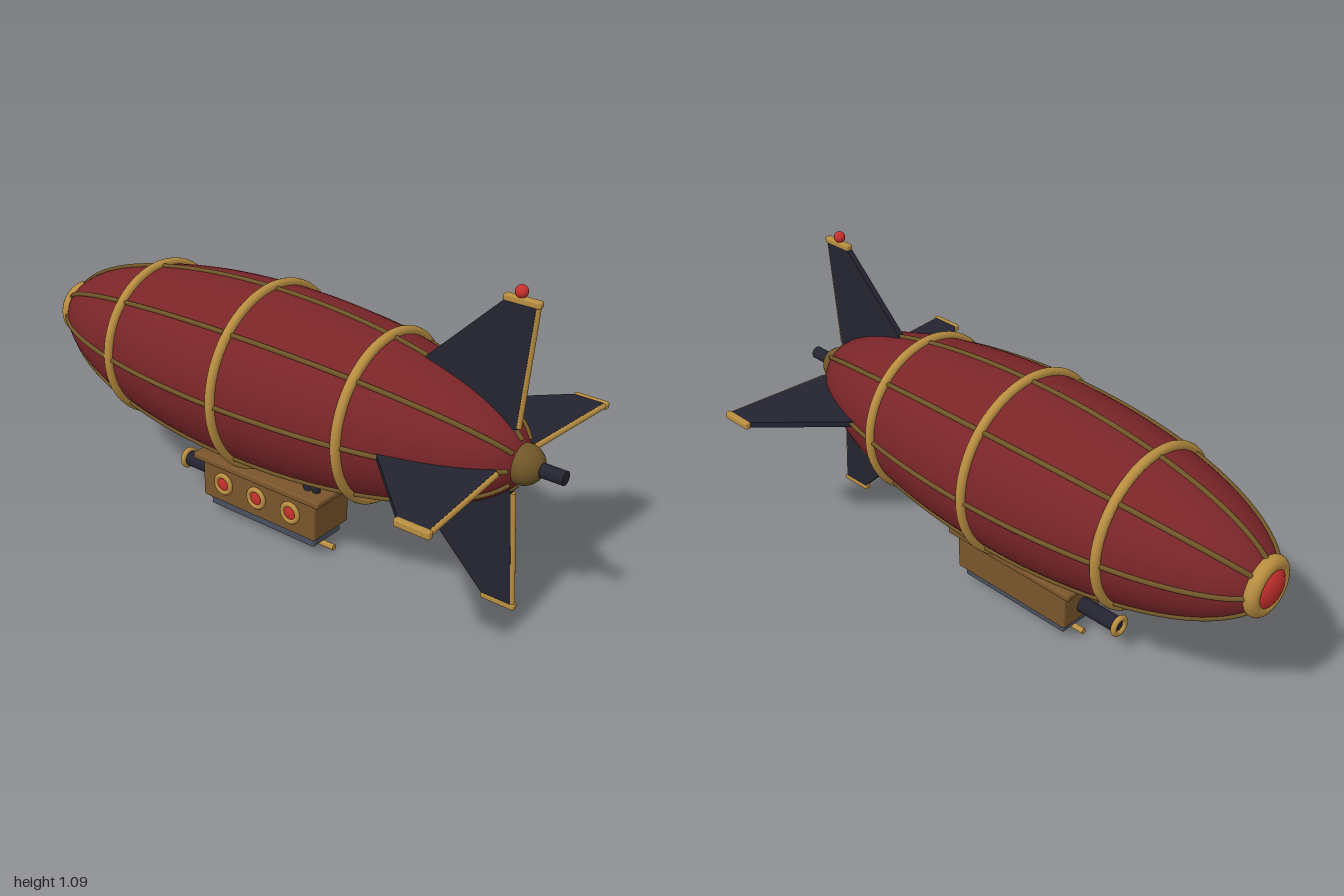
import * as THREE from 'three';
import { RoundedBoxGeometry } from 'three/addons/geometries/RoundedBoxGeometry.js';

const mat = (name, color) => {
  const m = new THREE.MeshStandardMaterial({ color });
  m.name = name;
  return m;
};

export function createModel() {
  const red = mat('hull red', 0x7a2528);
  const gold = mat('gold', 0xb88d40);
  const bronze = mat('bronze', 0x705628);
  const wood = mat('wood brown', 0x7a552c);
  const navy = mat('dark navy', 0x232430);
  const steel = mat('blue steel', 0x485060);
  const glass = mat('red glass', 0xc8302c);

  const model = new THREE.Group();
  model.name = 'airship';
  const add = (name, geo, material, pos = [0, 0, 0], parent = model) => {
    const m = new THREE.Mesh(geo, material);
    m.name = name;
    m.position.set(...pos);
    parent.add(m);
    return m;
  };
  // Cylinder between two points
  const rod = (name, a, b, r, material, parent = model) => {
    const p = new THREE.Vector3(...a), q = new THREE.Vector3(...b), d = q.clone().sub(p);
    const m = add(name, new THREE.CylinderGeometry(r, r, d.length(), 20), material,
      p.clone().add(q).multiplyScalar(0.5).toArray(), parent);
    m.quaternion.setFromUnitVectors(new THREE.Vector3(0, 1, 0), d.normalize());
    return m;
  };
  const ringX = (R, r) => new THREE.TorusGeometry(R, r, 14, 64).rotateY(Math.PI / 2);

  // Envelope, built around its own long axis
  const envelope = new THREE.Group();
  envelope.name = 'envelope';
  envelope.position.y = 0.564;
  model.add(envelope);
  const X0 = -0.055, HALF = 0.935, R = 0.3;
  const radius = x => R * Math.sqrt(Math.max(0, 1 - ((x - X0) / HALF) ** 2));
  const profile = [];
  for (let i = 0; i <= 48; i++) {
    const t = Math.PI * (1 - i / 48);
    profile.push(new THREE.Vector2(Math.max(0, R * Math.sin(t)), X0 + HALF * Math.cos(t)));
  }
  add('hull', new THREE.LatheGeometry(profile, 64).rotateZ(-Math.PI / 2), red, [0, 0, 0], envelope);

  // Lengthwise ribs
  for (let k = 0; k < 8; k++) {
    const pts = [];
    for (let i = 0; i <= 24; i++) {
      const x = X0 + 0.91 * Math.cos(Math.PI * (1 - i / 24));
      pts.push(new THREE.Vector3(x, radius(x) + 0.002, 0));
    }
    const rib = add('rib', new THREE.TubeGeometry(new THREE.CatmullRomCurve3(pts), 64, 0.008, 8), bronze, [0, 0, 0], envelope);
    rib.rotation.x = k * Math.PI / 4;
  }

  // Hoops, nose and tail
  for (const x of [-0.555, -0.058, 0.4])
    add('hoop', ringX(radius(x) + 0.005, 0.016), gold, [x, 0, 0], envelope);
  add('noseRing', ringX(0.072, 0.025), gold, [-0.96, 0, 0], envelope);
  add('noseLamp', new THREE.SphereGeometry(0.068, 32, 20).scale(0.5, 1, 1), glass, [-0.966, 0, 0], envelope);
  add('tailHub', new THREE.SphereGeometry(0.062, 32, 24), bronze, [0.868, 0, 0], envelope);
  rod('tailShaft', [0.88, 0, 0], [1, 0, 0], 0.022, navy, envelope);

  // Four tail fins with gold tips and trailing edges
  const outline = new THREE.Shape([[0.5, 0.2], [0.52, 0.232], [0.767, 0.475], [0.868, 0.475], [0.838, 0.1], [0.78, 0.09]]
    .map(p => new THREE.Vector2(...p)));
  const finGeo = new THREE.ExtrudeGeometry(outline, { depth: 0.02, bevelEnabled: false }).translate(0, 0, -0.01);
  for (let k = 0; k < 4; k++) {
    const fin = new THREE.Group();
    fin.name = 'tailFin';
    fin.rotation.x = k * Math.PI / 2;
    envelope.add(fin);
    add('finPanel', finGeo, navy, [0, 0, 0], fin);
    add('finTip', new RoundedBoxGeometry(0.116, 0.021, 0.024, 3, 0.006), gold, [0.822, 0.483, 0], fin);
    rod('finEdge', [0.84, 0.105, 0], [0.868, 0.475, 0], 0.0095, gold, fin);
  }
  add('beacon', new THREE.SphereGeometry(0.019, 20, 16), glass, [0.815, 0.508, 0], envelope);

  // Gondola
  const gondola = new THREE.Group();
  gondola.name = 'gondola';
  model.add(gondola);
  const block = (name, x0, x1, y0, y1, w, material) =>
    add(name, new RoundedBoxGeometry(x1 - x0, y1 - y0, w, 3, 0.008), material,
      [(x0 + x1) / 2, (y0 + y1) / 2, 0], gondola);
  block('cabin', -0.3, 0.187, 0.068, 0.212, 0.18, wood);
  block('roof', -0.33, 0.214, 0.206, 0.231, 0.218, wood);
  block('keel', -0.282, 0.17, 0.031, 0.074, 0.144, steel);

  // Landing skid
  rod('skid', [-0.31, 0.01, 0], [0.2, 0.01, 0], 0.01, gold, gondola);
  for (const x of [-0.22, 0.08]) rod('skidPost', [x, 0.01, 0], [x, 0.04, 0], 0.007, bronze, gondola);

  // Portholes on the front side
  for (const x of [-0.205, -0.059, 0.087]) {
    add('portholeRim', new THREE.TorusGeometry(0.031, 0.009, 12, 32), gold, [x, 0.143, 0.093], gondola);
    add('portholeGlass', new THREE.SphereGeometry(0.027, 24, 16).scale(1, 1, 0.35), glass, [x, 0.143, 0.091], gondola);
  }

  // Exhaust pipe with flared rim
  rod('pipe', [-0.455, 0.12, 0], [-0.28, 0.12, 0], 0.027, navy, gondola);
  add('pipeRim', ringX(0.028, 0.01), gold, [-0.455, 0.12, 0], gondola);

  // Struts holding the gondola
  for (const z of [-1, 1]) {
    rod('strut', [-0.245, 0.222, z * 0.055], [-0.19, 0.31, z * 0.04], 0.012, navy, gondola);
    rod('strut', [0.135, 0.222, z * 0.055], [0.08, 0.31, z * 0.04], 0.012, navy, gondola);
    rod('strut', [0.162, 0.222, z * 0.05], [0.162, 0.31, z * 0.045], 0.013, navy, gondola);
  }
  return model;
}
